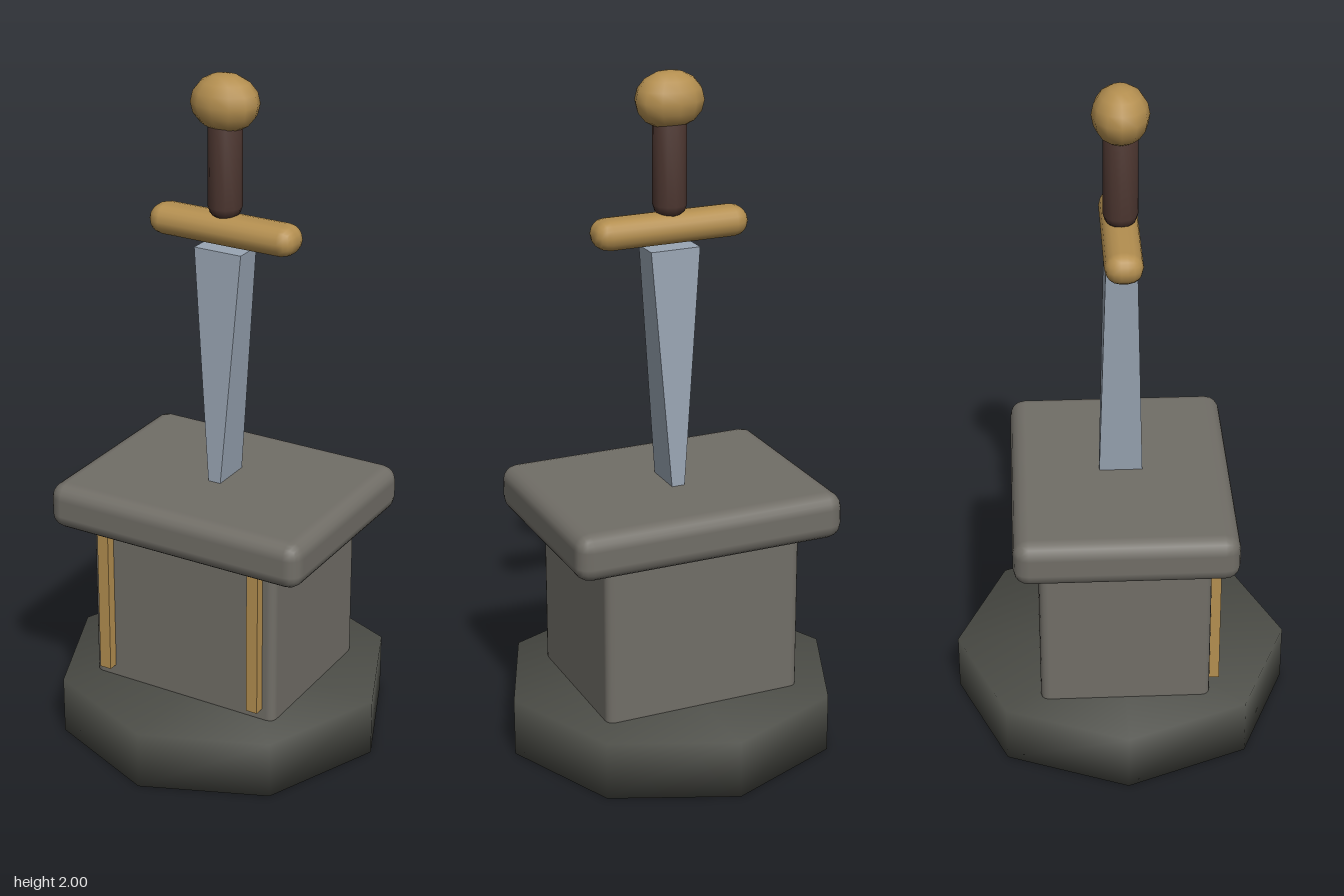
import * as THREE from 'three';
import { mergeVertices } from 'three/addons/utils/BufferGeometryUtils.js';
import { RoundedBoxGeometry } from 'three/addons/geometries/RoundedBoxGeometry.js';

const material = (name, color) => {
  const m = new THREE.MeshStandardMaterial({ color });
  m.name = name;
  return m;
};

// Shares vertices so that shading runs smoothly over every edge
function smoothAll(geometry) {
  geometry.deleteAttribute('normal');
  geometry.deleteAttribute('uv');
  const merged = mergeVertices(geometry, 1e-4);
  merged.computeVertexNormals();
  return merged;
}

export function createModel() {
  const model = new THREE.Group();
  model.name = 'swordInPedestal';

  const stone = material('stone', 0x716e67);
  const darkStone = material('dark stone', 0x4c4d47);
  const gold = material('gold', 0xb48f50);
  const steel = material('steel', 0x9aa6b4);
  const leather = material('leather', 0x4b352f);

  const add = (name, geometry, mat, x, y, z) => {
    const mesh = new THREE.Mesh(geometry, mat);
    mesh.name = name;
    mesh.position.set(x, y, z);
    model.add(mesh);
    return mesh;
  };

  // Octagonal base with soft shading
  add('base', smoothAll(new THREE.CylinderGeometry(0.5, 0.5, 0.175, 8)), darkStone, 0, 0.0875, 0);

  // Pedestal block and its overhanging slab
  add('pedestal', new RoundedBoxGeometry(0.61, 0.51, 0.5, 2, 0.025), stone, 0, 0.41, 0);
  add('topSlab', new RoundedBoxGeometry(0.826, 0.14, 0.644, 2, 0.045), stone, 0, 0.725, 0);

  // Gold strips on the front only
  for (const side of [-1, 1]) {
    add(side > 0 ? 'leftStrip' : 'rightStrip',
      new THREE.BoxGeometry(0.036, 0.46, 0.04), gold, side * 0.25, 0.44, 0.26);
  }

  // Blade: narrows downwards across its width, thickens slightly in depth
  const blade = new THREE.BoxGeometry(1, 0.78, 1);
  const p = blade.attributes.position;
  for (let i = 0; i < p.count; i++) {
    const top = p.getY(i) > 0;
    p.setX(i, Math.sign(p.getX(i)) * (top ? 0.075 : 0.014));
    p.setZ(i, Math.sign(p.getZ(i)) * (top ? 0.044 : 0.065));
  }
  blade.computeVertexNormals();
  add('blade', blade, steel, 0, 1.11, 0);

  // Hilt
  add('guard', new RoundedBoxGeometry(0.47, 0.09, 0.108, 2, 0.045), gold, 0, 1.555, 0);
  const gripProfile = [[0, 1.592], [0.03, 1.592], [0.043, 1.603], [0.049, 1.622], [0.049, 1.86], [0, 1.87]]
    .map(([r, y]) => new THREE.Vector2(r, y));
  add('grip', new THREE.LatheGeometry(gripProfile, 12), leather, 0, 0, 0);
  add('pommel', new THREE.SphereGeometry(1, 12, 8), gold, 0, 1.918, 0).scale.set(0.102, 0.082, 0.08);

  return model;
}
